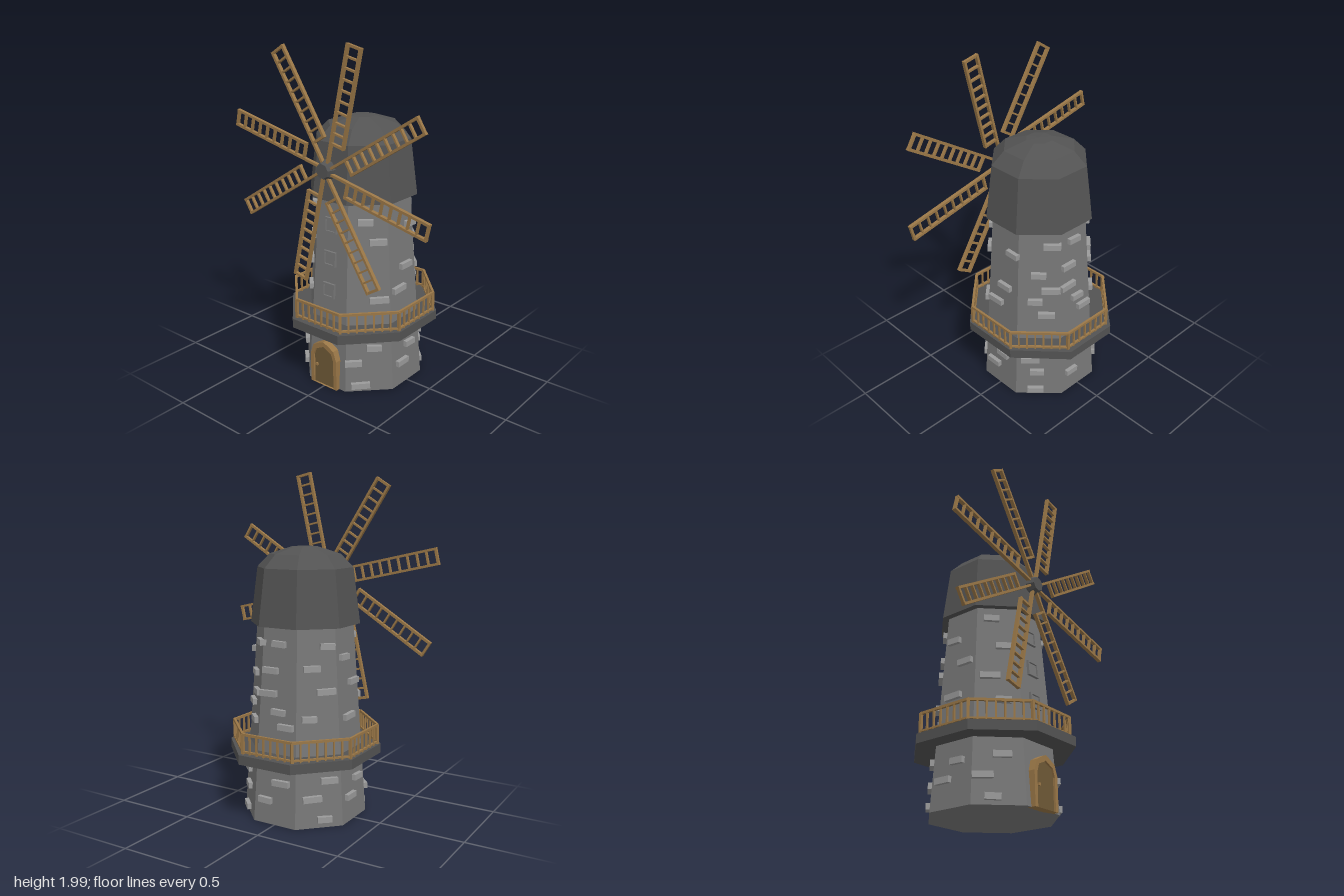
import * as THREE from 'three';

const mat = (name, color) => {
  const m = new THREE.MeshStandardMaterial({ color });
  m.name = name;
  return m;
};

export function createModel() {
  const stone = mat('wallStone', 0x777777);
  const slate = mat('darkSlate', 0x535353);
  const brick = mat('lightStone', 0x9a9a9a);
  const wood = mat('wood', 0x9a7747);
  const doorWood = mat('doorWood', 0x6f5937);

  const root = new THREE.Group();
  root.name = 'windmill';
  const group = (name, parent = root) => {
    const g = new THREE.Group();
    g.name = name;
    parent.add(g);
    return g;
  };
  const add = (parent, name, geo, material, x = 0, y = 0, z = 0) => {
    const m = new THREE.Mesh(geo, material);
    m.name = name;
    m.position.set(x, y, z);
    parent.add(m);
    return m;
  };
  const box = (parent, name, w, h, d, material, x, y, z) =>
    add(parent, name, new THREE.BoxGeometry(w, h, d), material, x, y, z);
  const facet = (geo) => {
    const g = geo.toNonIndexed();
    g.computeVertexNormals();
    return g;
  };
  // Octagonal solid of revolution; profile points are [flat-side distance, y]
  const K = 1 / Math.cos(Math.PI / 8);
  const octagon = (profile) => facet(new THREE.LatheGeometry(
    profile.map(([r, y]) => new THREE.Vector2(r * K, y)), 8, Math.PI / 8));

  // Tower, cap and balcony floor
  const wallDist = (y) => 0.335 - 0.067 * y;
  add(root, 'tower', octagon([[0, 0], [wallDist(0), 0], [wallDist(1.14), 1.14]]), stone);
  add(root, 'cap', octagon([[0, 1.12], [0.295, 1.12], [0.257, 1.44], [0.19, 1.515],
    [0.07, 1.556], [0, 1.56]]), slate);
  const floor = add(root, 'balconyFloor',
    octagon([[0, 0.355], [0.41, 0.355], [0.41, 0.41], [0, 0.41]]), slate);
  floor.scale.z = 1.06;

  // Balcony railing
  const railing = group('balconyRailing');
  const corner = (i) => {
    const a = (i + 0.5) * Math.PI / 4;
    return new THREE.Vector3(Math.sin(a) * 0.393 * K, 0, Math.cos(a) * 0.403 * K);
  };
  for (let i = 0; i < 8; i++) {
    const a = corner(i), b = corner(i + 1);
    const mid = a.clone().add(b).multiplyScalar(0.5);
    const len = a.distanceTo(b), dir = Math.atan2(a.z - b.z, b.x - a.x);
    for (const [y, h] of [[0.523, 0.014], [0.423, 0.01]]) {
      box(railing, 'rail', len + 0.005, h, 0.014, wood, mid.x, y, mid.z).rotation.y = dir;
    }
    for (let k = 0; k < 7; k++) {
      const p = a.clone().lerp(b, k / 7);
      const s = k === 0 ? 0.016 : 0.01;
      box(railing, 'baluster', s, 0.115, s, wood, p.x, 0.467, p.z).rotation.y = dir;
    }
  }

  // Protruding stones: [sideways offset, height] for each wall, counted from the front
  const walls = [
    [],
    [[-0.015, 1.015], [0.055, 0.9], [0.06, 0.56], [0.03, 0.27], [-0.09, 0.18], [-0.05, 0.04]],
    [[0.075, 0.96], [0.02, 0.725], [-0.05, 0.6], [0.025, 0.24], [-0.05, 0.145]],
    [[0, 0.845], [0.075, 1.03], [0.07, 0.745], [-0.02, 0.67], [0.045, 0.58], [-0.05, 0.26],
      [-0.01, 0.17], [-0.02, 0.04]],
    [[0, 1.03], [-0.05, 0.88], [-0.06, 0.75], [0.01, 0.65], [0.06, 0.57], [0.04, 0.25], [-0.06, 0.14]],
    [[0.06, 1.02], [-0.03, 0.9], [0.05, 0.77], [-0.05, 0.62], [0.06, 0.27], [-0.04, 0.17], [0.03, 0.05]],
    [[-0.04, 0.95], [0.05, 0.8], [-0.02, 0.61], [0.04, 0.24], [-0.05, 0.15]],
    [[-0.03, 1.05], [0.04, 0.88], [-0.04, 0.7], [0.03, 0.56], [0.02, 0.26], [-0.08, 0.15], [-0.03, 0.04]],
  ];
  const stones = group('wallStones');
  walls.forEach((list, i) => {
    const side = group('wallSide', stones);
    side.rotation.y = i * Math.PI / 4;
    list.forEach(([u, y], k) => {
      const b = box(side, 'stone', 0.085 + 0.012 * (k % 3), 0.034, 0.04, brick, u, y, wallDist(y) + 0.003);
      b.rotation.z = 0.03 * ((k % 3) - 1);
    });
  });

  // Front windows
  for (const y of [0.59, 0.78, 0.975]) {
    const w = group('window');
    w.position.set(-0.005, y, wallDist(y));
    w.rotation.x = -0.067;
    for (const s of [-1, 1]) {
      box(w, 'frameSide', 0.01, 0.085, 0.03, stone, s * 0.038, 0, 0);
      box(w, 'frameBar', 0.085, 0.01, 0.03, stone, 0, s * 0.038, 0);
    }
    box(w, 'pane', 0.07, 0.07, 0.008, stone, 0, 0, 0.002);
  }

  // Arched door
  const arch = (Type, w, spring, top) => {
    const p = new Type();
    p.moveTo(-w, 0);
    p.lineTo(w, 0);
    p.lineTo(w, spring);
    p.lineTo(w * 0.78, spring + (top - spring) * 0.62);
    p.lineTo(w * 0.3, top - 0.012);
    p.lineTo(0, top);
    p.lineTo(-w * 0.3, top - 0.012);
    p.lineTo(-w * 0.78, spring + (top - spring) * 0.62);
    p.lineTo(-w, spring);
    p.closePath();
    return p;
  };
  const door = group('door');
  door.position.x = -0.005;
  const frame = arch(THREE.Shape, 0.098, 0.185, 0.282);
  frame.holes.push(arch(THREE.Path, 0.075, 0.18, 0.252));
  const extrude = (shape, depth) => new THREE.ExtrudeGeometry(shape, { depth, bevelEnabled: false });
  add(door, 'doorFrame', extrude(frame, 0.08), wood, 0, 0, 0.28);
  add(door, 'doorPanel', extrude(arch(THREE.Shape, 0.078, 0.18, 0.255), 0.068), doorWood, 0, 0, 0.28);
  box(door, 'doorKnob', 0.014, 0.014, 0.014, wood, -0.055, 0.12, 0.352);

  // Sails: ladder frames set to one side of each spar
  const sails = group('sails');
  sails.position.set(-0.005, 1.3, 0.314);
  const start = 0.155, end = 0.705, width = 0.1, t = 0.014;
  for (let i = 0; i < 8; i++) {
    const sail = group('sail', sails);
    sail.rotation.z = THREE.MathUtils.degToRad(32.2 + 45 * i);
    box(sail, 'spar', end, t, 0.022, wood, end / 2, -t / 2, 0);
    box(sail, 'outerRail', end - start, t, 0.022, wood, (start + end) / 2, -width + t / 2, 0);
    for (let k = 0; k <= 9; k++) {
      const x = start + t / 2 + (end - start - t) * k / 9;
      box(sail, 'rung', k % 9 ? 0.01 : t, width - t, 0.018, wood, x, -width / 2, 0);
    }
  }
  // Hub and axle
  const hub = group('hub', sails);
  hub.rotation.set(Math.PI / 2, 0, 0);
  add(hub, 'hubCap', facet(new THREE.CylinderGeometry(0.042, 0.06, 0.045, 8, 1, false, 0.17)), slate, 0, 0.008, 0);
  add(hub, 'axle', facet(new THREE.CylinderGeometry(0.03, 0.03, 0.12, 8)), slate, 0, -0.06, 0);

  return root;
}
